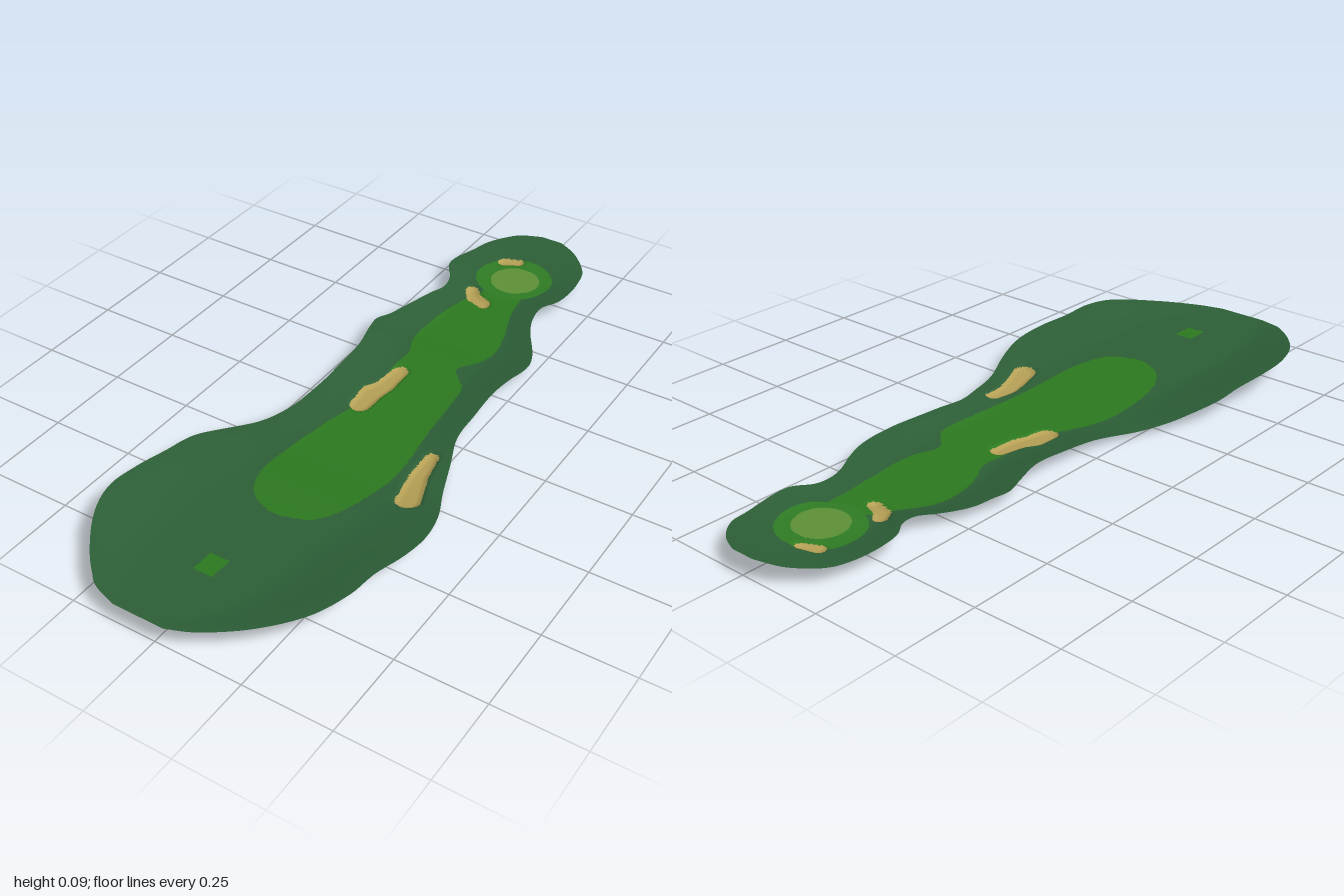
import * as THREE from 'three';

// Smooth curve through rows of [z, value, value]
function profile(rows) {
  const curve = new THREE.CubicInterpolant(rows.map((r) => r[0]), rows.flatMap((r) => r.slice(1)), 2);
  return (z) => [...curve.evaluate(z)];
}

// Course edge: z, right-hand x, left-hand x
const courseEdge = profile([
  [-1, -0.04, 0.03], [-0.98, -0.1, 0.075], [-0.95, -0.14, 0.115], [-0.9, -0.18, 0.155],
  [-0.85, -0.197, 0.167], [-0.75, -0.215, 0.176], [-0.7, -0.208, 0.17], [-0.65, -0.175, 0.142],
  [-0.6, -0.167, 0.143], [-0.55, -0.19, 0.16], [-0.45, -0.225, 0.22], [-0.4, -0.235, 0.238],
  [-0.35, -0.25, 0.241], [-0.3, -0.24, 0.235], [-0.2, -0.215, 0.226], [-0.1, -0.213, 0.228],
  [0, -0.215, 0.232], [0.1, -0.23, 0.268], [0.2, -0.265, 0.305], [0.3, -0.315, 0.35],
  [0.4, -0.355, 0.375], [0.5, -0.365, 0.372], [0.6, -0.378, 0.352], [0.7, -0.379, 0.344],
  [0.8, -0.345, 0.305], [0.9, -0.275, 0.21], [0.95, -0.225, 0.14], [0.98, -0.185, 0.085], [1, -0.12, 0.03],
]);

// Fairway edge: z, right-hand x, left-hand x
const fairwayEdge = profile([
  [-0.68, -0.05, 0.06], [-0.6, -0.085, 0.07], [-0.5, -0.12, 0.1], [-0.4, -0.127, 0.115],
  [-0.33, -0.115, 0.1], [-0.27, -0.088, 0.072], [-0.2, -0.09, 0.128], [-0.1, -0.08, 0.142],
  [0, -0.085, 0.147], [0.1, -0.115, 0.156], [0.2, -0.135, 0.162], [0.3, -0.141, 0.155],
  [0.4, -0.133, 0.138], [0.46, -0.108, 0.115], [0.5, -0.07, 0.08], [0.522, -0.02, 0.025],
]);

// Ground height: z, middle y, rim y
const ground = profile([
  [-1, 0.06, 0.06], [-0.93, 0.047, 0.049], [-0.85, 0.037, 0.043], [-0.7, 0.039, 0.055],
  [-0.6, 0.033, 0.046], [-0.45, 0.014, 0.032], [-0.25, 0.031, 0.051], [0, 0.02, 0.034],
  [0.2, 0.009, 0.016], [0.4, 0.031, 0.053], [0.6, 0.05, 0.078], [0.75, 0.057, 0.088],
  [0.9, 0.058, 0.072], [1, 0.06, 0.06],
]);

// Sand bunkers: chains of [x, z, radius]
const bunkers = [
  [[-0.088, -0.842, 0.019], [-0.045, -0.86, 0.015]],
  [[-0.092, -0.645, 0.02], [-0.07, -0.617, 0.022], [-0.028, -0.603, 0.02]],
  [[-0.06, -0.175, 0.024], [-0.065, -0.1, 0.028], [-0.08, -0.06, 0.034], [-0.08, 0, 0.03]],
  [[0.207, 0.095, 0.02], [0.213, 0.17, 0.026], [0.245, 0.275, 0.035]],
];

// Distance to the nearest bunker edge, negative inside the sand
function bunkerDistance(x, z) {
  let best = Infinity;
  for (const chain of bunkers) {
    for (let i = 1; i < chain.length; i++) {
      const [ax, az, ar] = chain[i - 1];
      const [bx, bz, br] = chain[i];
      const dx = bx - ax, dz = bz - az;
      const t = THREE.MathUtils.clamp(((x - ax) * dx + (z - az) * dz) / (dx * dx + dz * dz), 0, 1);
      best = Math.min(best, Math.hypot(x - ax - t * dx, z - az - t * dz) - ar - t * (br - ar));
    }
  }
  return best;
}

const insideEllipse = (x, z, cx, cz, rx, rz) => ((x - cx) / rx) ** 2 + ((z - cz) / rz) ** 2 < 1;

// Which turf lies at a point
function regionAt(x, z) {
  if (bunkerDistance(x, z) < 0) return 'bunkers';
  if (insideEllipse(x, z, -0.005, -0.758, 0.075, 0.073)) return 'puttingGreen';
  if (insideEllipse(x, z, -0.012, -0.765, 0.118, 0.112)) return 'greenCollar';
  if (Math.abs(x + 0.008) < 0.029 && Math.abs(z - 0.768) < 0.034) return 'teeBox';
  if (z > -0.68 && z < 0.522) {
    const [a, b] = fairwayEdge(z);
    if (x > a && x < b) return 'fairway';
  }
  return 'rough';
}

function heightAt(x, z, t) {
  const [middle, rim] = ground(z);
  const lift = THREE.MathUtils.smoothstep(Math.abs(t), 0.45, 1.15) * 1.3;
  const dip = 0.009 * THREE.MathUtils.smoothstep(-bunkerDistance(x, z), -0.01, 0.015);
  return Math.max(0, middle + (rim - middle) * lift * (x > 0 ? 0.75 : 1) - dip);
}

export function createModel() {
  const group = new THREE.Group();
  group.name = 'golfHole';

  const material = (name, color) => {
    const m = new THREE.MeshStandardMaterial({ color, side: THREE.DoubleSide });
    m.name = name;
    return m;
  };
  const fairwayGreen = material('fairwayGreen', 0x2d7a20);
  const materials = {
    rough: material('roughGreen', 0x2d5f37),
    fairway: fairwayGreen,
    teeBox: fairwayGreen,
    greenCollar: material('collarGreen', 0x2f7d24),
    puttingGreen: material('puttingGreen', 0x5f9238),
    bunkers: material('sand', 0xb5a055),
  };

  // Terrain grid stretched between the course edges
  const cols = 120, rows = 340;
  const points = [];
  for (let j = 0; j <= rows; j++) {
    const z = -1 + (2 * j) / rows;
    const [a, b] = courseEdge(z);
    for (let i = 0; i <= cols; i++) {
      const x = a + ((b - a) * i) / cols;
      points.push(x, heightAt(x, z, (2 * i) / cols - 1), z);
    }
  }

  // Sort the triangles by turf
  const all = [];
  const faces = Object.fromEntries(Object.keys(materials).map((k) => [k, []]));
  const addFace = (...corners) => {
    const mean = (axis) => corners.reduce((sum, c) => sum + points[c * 3 + axis], 0) / 3;
    faces[regionAt(mean(0), mean(2))].push(...corners);
    all.push(...corners);
  };
  for (let j = 0; j < rows; j++) {
    for (let i = 0; i < cols; i++) {
      const a = j * (cols + 1) + i, b = a + cols + 1;
      addFace(a, b, a + 1);
      addFace(b, b + 1, a + 1);
    }
  }

  // Normals come from the whole terrain so the turf joins are seamless
  const terrain = new THREE.BufferGeometry();
  terrain.setAttribute('position', new THREE.Float32BufferAttribute(points, 3));
  terrain.setIndex(all);
  terrain.computeVertexNormals();

  for (const [name, index] of Object.entries(faces)) {
    terrain.setIndex(index);
    const mesh = new THREE.Mesh(terrain.toNonIndexed(), materials[name]);
    mesh.name = name;
    group.add(mesh);
  }
  return group;
}
